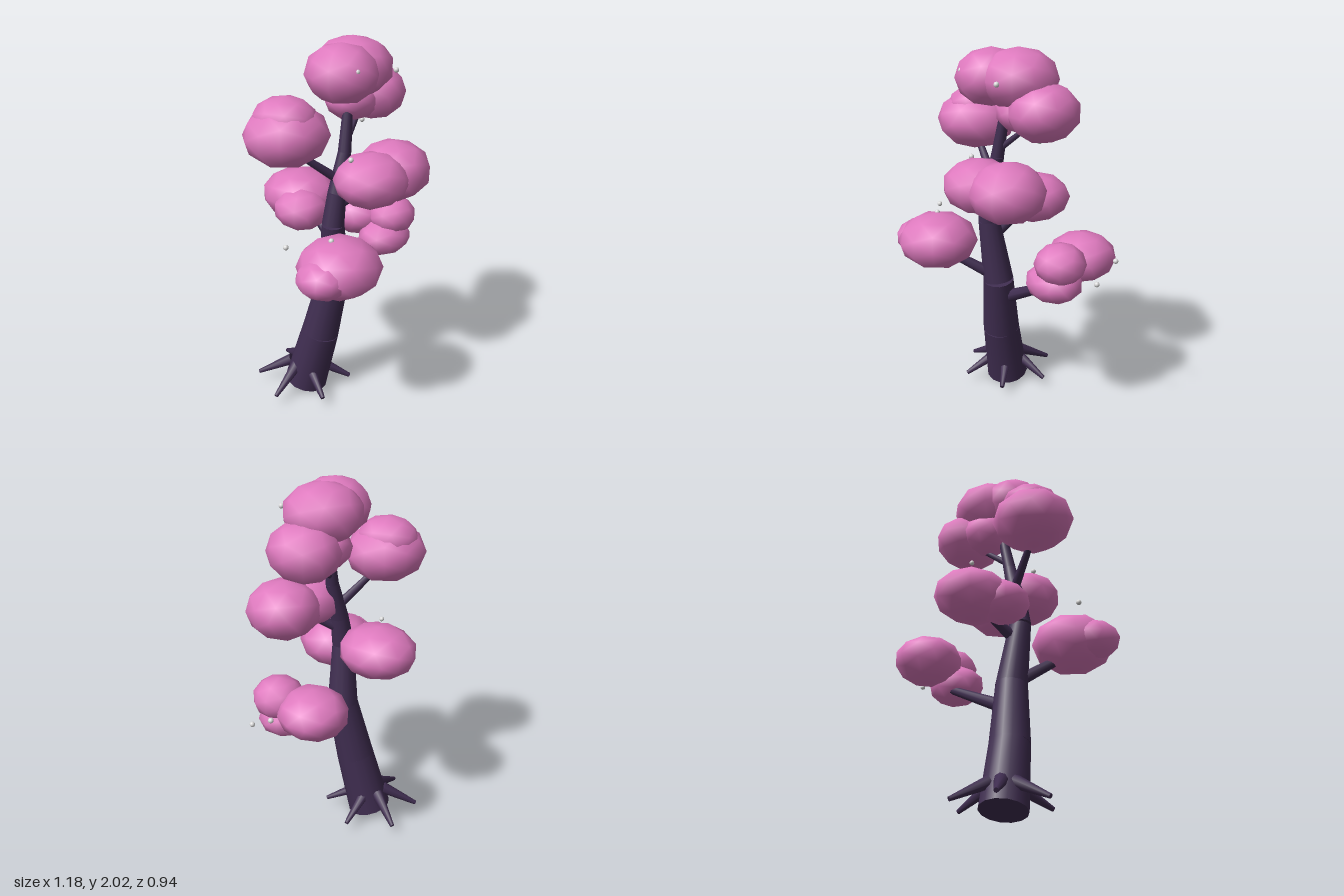
import * as THREE from 'three';

const bark = new THREE.MeshStandardMaterial({ color: 0x3f2d50 });
bark.name = 'dark bark';
const blossom = new THREE.MeshStandardMaterial({ color: 0xdf7abf });
blossom.name = 'pink blossom';
const pearl = new THREE.MeshStandardMaterial({ color: 0xdcdcdc });
pearl.name = 'pale bead';

// Tapered round limb running from point a to point b
function limb(name, a, b, r0, r1, sides = 10) {
  const start = new THREE.Vector3(...a), end = new THREE.Vector3(...b);
  const dir = end.clone().sub(start);
  const mesh = new THREE.Mesh(new THREE.CylinderGeometry(r1, r0, dir.length(), sides), bark);
  mesh.position.copy(start).add(end).multiplyScalar(0.5);
  mesh.quaternion.setFromUnitVectors(new THREE.Vector3(0, 1, 0), dir.normalize());
  mesh.name = name;
  return mesh;
}

export function createModel() {
  const tree = new THREE.Group();
  tree.name = 'blossomTree';

  // Leaning trunk: x, y, z, radius at each joint
  const trunk = new THREE.Group();
  trunk.name = 'trunk';
  const joints = [
    [-0.2, 0.015, -0.145, 0.122], [-0.16, 0.36, -0.06, 0.106], [-0.115, 0.7, 0.003, 0.086],
    [-0.15, 1.05, 0.037, 0.06], [-0.125, 1.22, 0.043, 0.05],
    [-0.07, 1.43, 0.045, 0.035], [-0.025, 1.68, 0.03, 0.025],
  ];
  for (let i = 0; i < joints.length - 1; i++) {
    const a = joints[i], b = joints[i + 1];
    trunk.add(limb('trunkSection', a.slice(0, 3), b.slice(0, 3), a[3], b[3], 14));
  }
  tree.add(trunk);

  // Six pointed roots around the base
  const roots = new THREE.Group();
  roots.name = 'roots';
  for (let i = 0; i < 6; i++) {
    const t = THREE.MathUtils.degToRad(39 + i * 60);
    const at = (r, y) => [-0.205 + Math.sin(t) * r, y, -0.155 + Math.cos(t) * r];
    roots.add(limb('root', at(0.07, 0.14), at(0.265, 0.042), 0.034, 0.012, 8));
  }
  tree.add(roots);

  // Branches reaching into the foliage
  const branches = new THREE.Group();
  branches.name = 'branches';
  [
    [[-0.12, 0.57, -0.02], [0.3, 0.78, -0.08], 0.038, 0.02],
    [[-0.12, 0.72, 0.02], [-0.34, 0.9, 0.25], 0.036, 0.022],
    [[-0.14, 0.95, 0.03], [-0.1, 1.1, -0.22], 0.034, 0.02],
    [[-0.13, 1.15, 0.04], [0.06, 1.28, 0.18], 0.03, 0.018],
    [[-0.11, 1.29, 0.04], [-0.36, 1.5, -0.06], 0.026, 0.015],
    [[-0.06, 1.47, 0.04], [0.13, 1.63, -0.02], 0.018, 0.012],
  ].forEach(([a, b, r0, r1]) => branches.add(limb('branch', a, b, r0, r1, 8)));
  tree.add(branches);

  // Foliage clumps: each puff is x, y, z, then its radii
  const clumps = {
    lowerLeftFoliage: [
      [0.32, 0.91, -0.2, 0.18, 0.13, 0.185],
      [0.36, 0.935, 0.01, 0.135, 0.11, 0.135],
      [0.31, 0.815, 0.0, 0.16, 0.105, 0.14],
    ],
    lowerRightFoliage: [
      [-0.33, 0.945, 0.255, 0.215, 0.15, 0.215],
      [-0.455, 0.935, 0.27, 0.14, 0.1, 0.14],
    ],
    backFoliage: [
      [-0.1, 1.13, -0.26, 0.195, 0.135, 0.21],
      [-0.2, 1.1, -0.15, 0.14, 0.11, 0.15],
    ],
    middleFoliage: [
      [-0.035, 1.31, 0.2, 0.2, 0.14, 0.19],
      [0.15, 1.31, 0.185, 0.2, 0.157, 0.2],
    ],
    upperRightFoliage: [
      [-0.36, 1.565, -0.07, 0.218, 0.155, 0.21],
      [-0.36, 1.645, -0.08, 0.155, 0.11, 0.165],
    ],
    upperLeftFoliage: [
      [0.2, 1.69, -0.025, 0.172, 0.15, 0.195],
      [0.06, 1.675, -0.02, 0.15, 0.11, 0.14],
    ],
    crownFoliage: [
      [0.04, 1.845, 0.0, 0.205, 0.153, 0.205],
      [-0.1, 1.843, 0.055, 0.178, 0.148, 0.19],
    ],
  };
  const puff = new THREE.IcosahedronGeometry(1.02, 1);
  let turn = 0;
  for (const [name, puffs] of Object.entries(clumps)) {
    const clump = new THREE.Group();
    clump.name = name;
    for (const [x, y, z, rx, ry, rz] of puffs) {
      // Turn the facets first so every puff has its own outline
      const geo = puff.clone().rotateY(turn++ * 1.3);
      const mesh = new THREE.Mesh(geo, blossom);
      mesh.name = 'blossomPuff';
      mesh.position.set(x, y, z);
      mesh.scale.set(rx, ry, rz);
      clump.add(mesh);
    }
    tree.add(clump);
  }

  // Small floating beads
  const beads = new THREE.Group();
  beads.name = 'beads';
  const beadShape = new THREE.SphereGeometry(0.014, 12, 8);
  [
    [-0.155, 1.885, 0.21], [0.115, 1.85, 0.22], [0.577, 0.965, -0.17], [0.577, 0.88, -0.027],
    [-0.525, 1.063, 0.08], [0.155, 1.535, -0.04], [-0.36, 1.09, 0.23], [-0.145, 1.435, 0.16],
  ].forEach((p) => {
    const bead = new THREE.Mesh(beadShape, pearl);
    bead.name = 'bead';
    bead.position.set(...p);
    beads.add(bead);
  });
  tree.add(beads);

  return tree;
}
